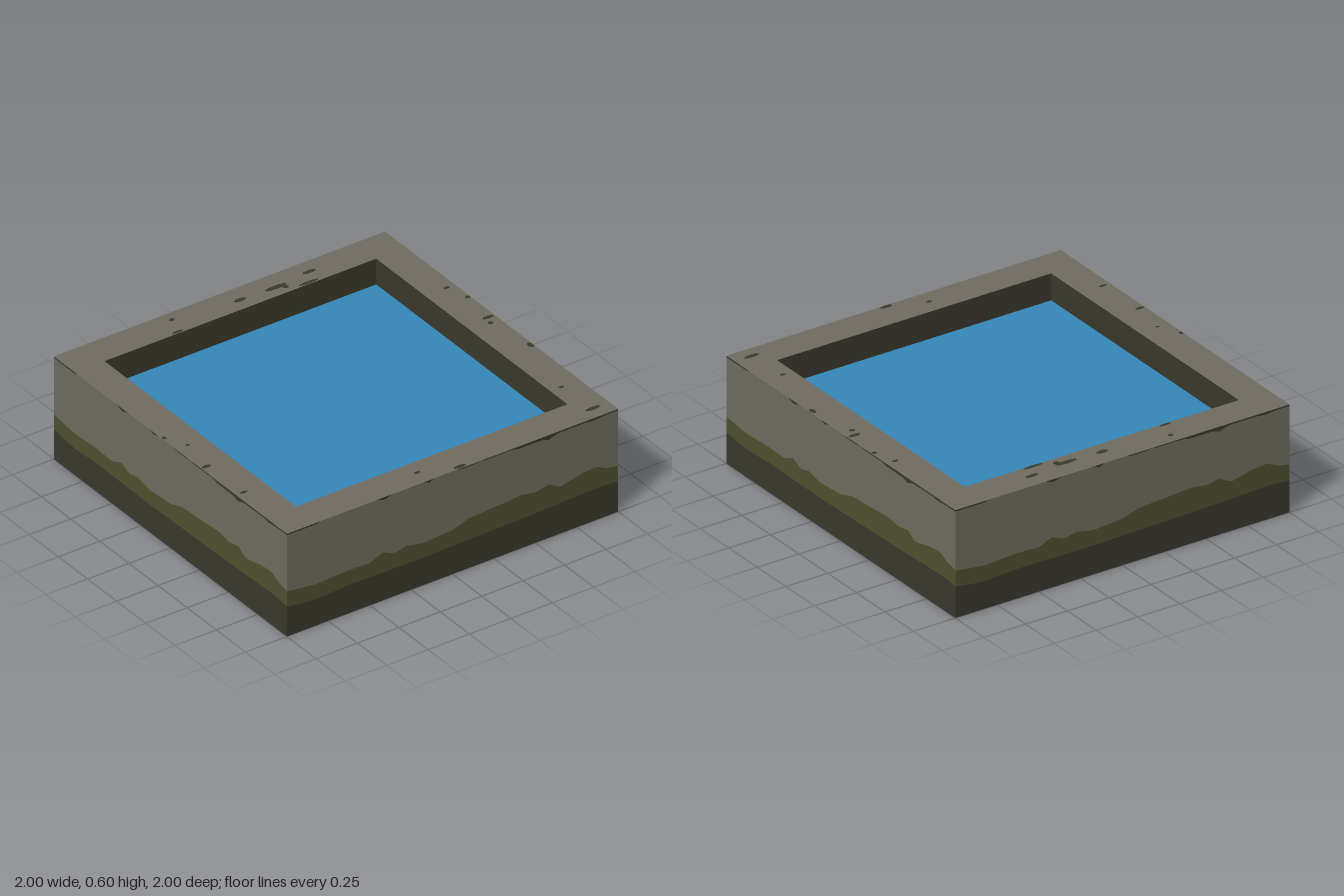
import * as THREE from 'three';

const HEIGHT = 0.6, INNER = 0.82, WATER = 0.45;

const material = (name, color) => {
  const m = new THREE.MeshStandardMaterial({ color, side: THREE.DoubleSide });
  m.name = name;
  return m;
};

// Height lines along a wall, as [x, y] points
const baseLine = [[-1, 0], [1, 0]];
const topLine = [[-1, HEIGHT], [1, HEIGHT]];
const dampLine = [[-1, 0.175], [-0.9, 0.16], [-0.82, 0.155], [-0.6, 0.165], [-0.2, 0.16], [0.05, 0.165],
  [0.35, 0.17], [0.6, 0.176], [0.87, 0.186], [1, 0.178]];
const mossLine = [[-1, 0.262], [-0.83, 0.242], [-0.63, 0.252], [-0.5, 0.247], [-0.42, 0.28], [-0.35, 0.25],
  [-0.28, 0.267], [-0.18, 0.246], [0, 0.258], [0.1, 0.29], [0.28, 0.3], [0.41, 0.31], [0.51, 0.296],
  [0.58, 0.312], [0.65, 0.273], [0.78, 0.303], [0.87, 0.31], [0.93, 0.28], [1, 0.267]];
const chipLine = [[-1, 0.592], [-0.82, 0.592], [-0.8, 0.6], [-0.46, 0.6], [-0.41, 0.582], [-0.37, 0.6],
  [-0.17, 0.6], [-0.14, 0.586], [-0.11, 0.6], [0.02, 0.6], [0.05, 0.593], [0.14, 0.594], [0.17, 0.6],
  [0.2, 0.594], [0.36, 0.594], [0.4, 0.586], [0.54, 0.585], [0.58, 0.572], [0.63, 0.59], [0.8, 0.592],
  [0.85, 0.585], [0.92, 0.592], [1, 0.592]];

function heightAt(line, x) {
  let i = 1;
  while (i < line.length - 1 && line[i][0] < x) i++;
  const [x0, y0] = line[i - 1], [x1, y1] = line[i];
  return y0 + (y1 - y0) * THREE.MathUtils.clamp((x - x0) / (x1 - x0), 0, 1);
}

// Strip of wall between two height lines, on the plane z = 1
function band(lower, upper) {
  const geometry = new THREE.PlaneGeometry(2, 2, 100, 1);
  const p = geometry.attributes.position;
  for (let i = 0; i < p.count; i++) {
    p.setY(i, heightAt(p.getY(i) > 0 ? upper : lower, p.getX(i)));
  }
  return geometry.translate(0, 0, 1);
}

export function createModel() {
  const group = new THREE.Group();
  group.name = 'waterBasin';
  const stone = material('stone', 0x706c60);
  const moss = material('moss', 0x505030);
  const damp = material('dampStone', 0x3a392d);
  const water = material('water', 0x3587ba);

  const add = (parent, name, geometry, mat) => {
    const mesh = new THREE.Mesh(geometry, mat);
    mesh.name = name;
    parent.add(mesh);
    return mesh;
  };

  // Four matching sides: banded outer wall and short inner wall down to the water
  const parts = [
    ['dampBand', band(baseLine, dampLine), damp],
    ['mossBand', band(dampLine, mossLine), moss],
    ['stoneBand', band(mossLine, chipLine), stone],
    ['chippedEdge', band(chipLine, topLine), damp],
    ['innerWall', new THREE.PlaneGeometry(INNER * 2, HEIGHT - WATER)
      .translate(0, (HEIGHT + WATER) / 2, -INNER), damp],
  ];
  for (let side = 0; side < 4; side++) {
    const wall = new THREE.Group();
    wall.name = 'wall' + (side + 1);
    wall.rotation.y = side * Math.PI / 2;
    for (const [name, geometry, mat] of parts) add(wall, name, geometry, mat);
    group.add(wall);
  }

  // Flat rim with a square opening
  const square = (r) => [[-r, -r], [r, -r], [r, r], [-r, r]].map(([x, y]) => new THREE.Vector2(x, y));
  const rimShape = new THREE.Shape(square(1));
  rimShape.holes.push(new THREE.Path(square(INNER)));
  add(group, 'rim', new THREE.ShapeGeometry(rimShape).rotateX(-Math.PI / 2).translate(0, HEIGHT, 0), stone);

  // Water surface
  add(group, 'waterSurface', new THREE.PlaneGeometry(INNER * 2, INNER * 2)
    .rotateX(-Math.PI / 2).translate(0, WATER, 0), water);

  // Dark chips on the rim: x, z, half width, half depth
  const chips = [
    [-0.33, -0.94, 0.016, 0.012], [0.05, -0.895, 0.036, 0.016], [0.26, -0.888, 0.066, 0.016],
    [0.305, -0.868, 0.018, 0.018], [0.48, -0.912, 0.04, 0.014], [0.42, -0.832, 0.06, 0.011],
    [-0.37, -0.832, 0.034, 0.01], [0.95, -0.4, 0.018, 0.01], [0.984, -0.27, 0.015, 0.012],
    [0.96, -0.06, 0.034, 0.014], [0.94, -0.01, 0.016, 0.014], [0.984, 0.27, 0.015, 0.025],
    [-0.97, 0.265, 0.028, 0.012], [-0.955, 0.565, 0.023, 0.01], [-0.93, 0.05, 0.011, 0.008],
    [-0.988, -0.07, 0.011, 0.015], [0.885, 0.675, 0.016, 0.01], [0.9, 0.925, 0.046, 0.014],
    [0.055, 0.985, 0.036, 0.014], [-0.15, 0.91, 0.018, 0.01],
  ];
  chips.forEach(([x, z, w, d], i) => {
    const chip = add(group, 'rimChip' + (i + 1), new THREE.CircleGeometry(1, 9).rotateX(-Math.PI / 2), damp);
    chip.scale.set(w, 1, d);
    chip.position.set(x, HEIGHT + 0.002, z);
  });

  return group;
}
